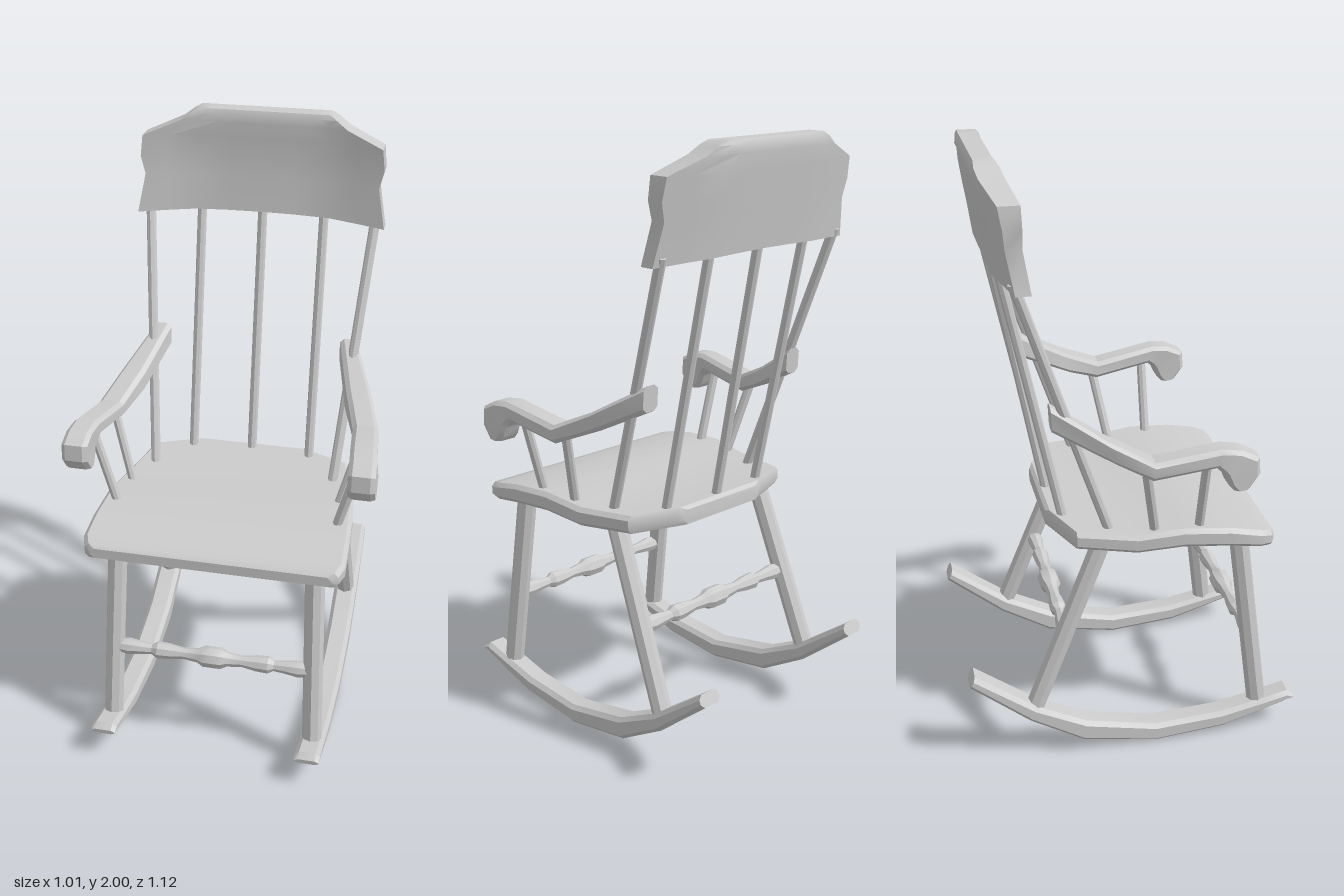
import * as THREE from 'three';
import { toCreasedNormals } from 'three/addons/utils/BufferGeometryUtils.js';

const material = new THREE.MeshStandardMaterial({ color: 0xcccccc });

function addMesh(parent, name, geometry) {
  const mesh = new THREE.Mesh(geometry, material);
  mesh.name = name;
  parent.add(mesh);
  return mesh;
}

// Skin a row of closed rings; each ring runs counterclockwise seen from outside the first end
function loft(rings, crease = 0.5) {
  const n = rings[0].length;
  const index = [];
  for (let r = 0; r < rings.length - 1; r++) {
    for (let k = 0; k < n; k++) {
      const a = r * n + k, b = r * n + (k + 1) % n;
      index.push(a, a + n, b, b, a + n, b + n);
    }
  }
  const last = (rings.length - 1) * n;
  for (let k = 0; k < n / 2 - 1; k++) {
    const [a, b, c, d] = [k, k + 1, n - 2 - k, n - 1 - k];
    index.push(a, b, c, a, c, d);
    index.push(last + a, last + c, last + b, last + a, last + d, last + c);
  }
  const geometry = new THREE.BufferGeometry();
  geometry.setAttribute('position', new THREE.Float32BufferAttribute(rings.flat(2), 3));
  geometry.setIndex(index);
  return toCreasedNormals(geometry, crease);
}

// Chamfered plank from front to back; station = [centreX, halfWidth, topZ, topY, bottomZ, bottomY]
function plank(stations, chamfer) {
  return loft(stations.map(([cx, w, tz, ty, bz, by]) => {
    const t = Math.min(0.45, chamfer / Math.hypot(tz - bz, ty - by));
    const at = (x, s) => [cx + x, by + (ty - by) * s, bz + (tz - bz) * s];
    const i = w - chamfer;
    return [at(w, t), at(w, 1 - t), at(i, 1), at(-i, 1), at(-w, 1 - t), at(-w, t), at(-i, 0), at(i, 0)];
  }));
}

// Round stick between two points
function stick(parent, name, from, to, radius, sides = 8) {
  const a = new THREE.Vector3(...from), b = new THREE.Vector3(...to);
  const dir = b.clone().sub(a);
  const geometry = new THREE.CylinderGeometry(radius, radius, dir.length(), sides);
  const mesh = addMesh(parent, name, toCreasedNormals(geometry, 0.5));
  mesh.position.copy(a).add(b).multiplyScalar(0.5);
  mesh.quaternion.setFromUnitVectors(new THREE.Vector3(0, 1, 0), dir.normalize());
}

// Turned stretcher lying along x
function stretcher(parent, name, y, z) {
  const half = [[0, 0.036], [0.03, 0.036], [0.05, 0.025], [0.1, 0.019], [0.15, 0.027],
    [0.19, 0.029], [0.21, 0.018], [0.25, 0.022], [0.29, 0.028], [0.335, 0.022]];
  const profile = [...half.slice(1).reverse().map(([l, r]) => [-l, r]), ...half]
    .map(([l, r]) => new THREE.Vector2(r, l));
  const mesh = addMesh(parent, name, toCreasedNormals(new THREE.LatheGeometry(profile, 8), 0.5));
  mesh.rotation.z = Math.PI / 2;
  mesh.position.set(0, y, z);
}

function crestRail() {
  // Rows from bottom to top: y, half width, front z, back z
  const rows = [
    [1.65, 0.42, -0.37, -0.418], [1.78, 0.395, -0.384, -0.435], [1.84, 0.41, -0.388, -0.445],
    [1.91, 0.402, -0.388, -0.455], [1.96, 0.28, -0.386, -0.463], [1.985, 0.245, -0.388, -0.463],
    [2.0, 0.22, -0.395, -0.455],
  ];
  const columns = [1, 0.78, 0.54, 0.27, 0, -0.27, -0.54, -0.78, -1];
  return loft(rows.map(([y, w, front, back], r) => {
    const point = (u, z) => {
      const x = u * w;
      const bend = 0.045 * Math.max(0, Math.abs(x) - 0.22) / 0.2;
      const lift = r === 0 ? 0.015 * (1 - u * u) : 0;
      return [x, y + lift, z + bend];
    };
    return [...columns.map(u => point(u, front)), ...columns.slice().reverse().map(u => point(u, back))];
  }), 0.6);
}

export function createModel() {
  const chair = new THREE.Group();
  chair.name = 'rockingChair';

  // Seat: z, half width, top y, bottom y
  const seat = [
    [0.452, 0.395, 0.785, 0.75], [0.44, 0.415, 0.796, 0.742], [0.4, 0.43, 0.806, 0.747],
    [0.3, 0.427, 0.825, 0.76], [0.15, 0.418, 0.835, 0.77], [0, 0.4, 0.818, 0.755],
    [-0.19, 0.355, 0.828, 0.768], [-0.25, 0.2, 0.832, 0.77], [-0.262, 0.175, 0.822, 0.772],
  ];
  addMesh(chair, 'seat', plank(seat.map(([z, w, t, b]) => [0, w, z, t, z, b]), 0.014));

  addMesh(chair, 'crestRail', crestRail());

  // Back spindles
  for (const x of [-0.21, 0, 0.21]) {
    const z = x === 0 ? -0.228 : -0.208;
    stick(chair, 'backSpindle', [x, 0.8, z], [x, 1.7, -0.4], 0.016);
  }

  stretcher(chair, 'frontStretcher', 0.37, 0.405);
  stretcher(chair, 'backStretcher', 0.455, -0.228);

  for (const [s, side] of [[1, 'left'], [-1, 'right']]) {
    const part = new THREE.Group();
    part.name = side + 'Side';
    chair.add(part);

    // Rocker: top z, top y, bottom z, bottom y
    const rocker = [
      [0.562, 0.122, 0.56, 0.105], [0.54, 0.137, 0.535, 0.095], [0.46, 0.118, 0.45, 0.068],
      [0.3, 0.085, 0.31, 0.025], [0.07, 0.07, 0.07, 0.003], [-0.17, 0.12, -0.18, 0.045],
      [-0.34, 0.205, -0.36, 0.15], [-0.54, 0.352, -0.558, 0.312],
    ];
    addMesh(part, side + 'Rocker', plank(rocker.map(p => [s * 0.35, 0.042, ...p]), 0.014));

    // Legs
    stick(part, side + 'FrontLeg', [s * 0.349, 0.08, 0.44], [s * 0.328, 0.78, 0.35], 0.033);
    stick(part, side + 'BackLeg', [s * 0.35, 0.16, -0.352], [s * 0.328, 0.78, -0.105], 0.033);

    // Arm with a curled front end: centre x, half width, top z, top y, bottom z, bottom y
    const arm = [
      [0.461, 0.043, 0.33, 1.005, 0.28, 1.0], [0.461, 0.043, 0.362, 1.05, 0.262, 1.02],
      [0.461, 0.043, 0.358, 1.105, 0.25, 1.05], [0.458, 0.043, 0.305, 1.132, 0.242, 1.062],
      [0.452, 0.043, 0.245, 1.14, 0.225, 1.078], [0.433, 0.043, 0.035, 1.105, 0.03, 1.045],
      [0.39, 0.042, -0.1, 1.168, -0.075, 1.09], [0.328, 0.03, -0.268, 1.27, -0.264, 1.185],
    ];
    addMesh(part, side + 'Arm', plank(arm.map(([x, ...p]) => [s * x, ...p]), 0.014));

    // Arm posts and the long outer spindle up to the crest rail
    stick(part, side + 'FrontArmPost', [s * 0.37, 0.81, 0.205], [s * 0.45, 1.1, 0.205], 0.016);
    stick(part, side + 'RearArmPost', [s * 0.355, 0.8, 0.065], [s * 0.43, 1.07, 0.015], 0.016);
    stick(part, side + 'OuterSpindle', [s * 0.315, 0.8, -0.075], [s * 0.387, 1.68, -0.375], 0.017);
  }
  return chair;
}
